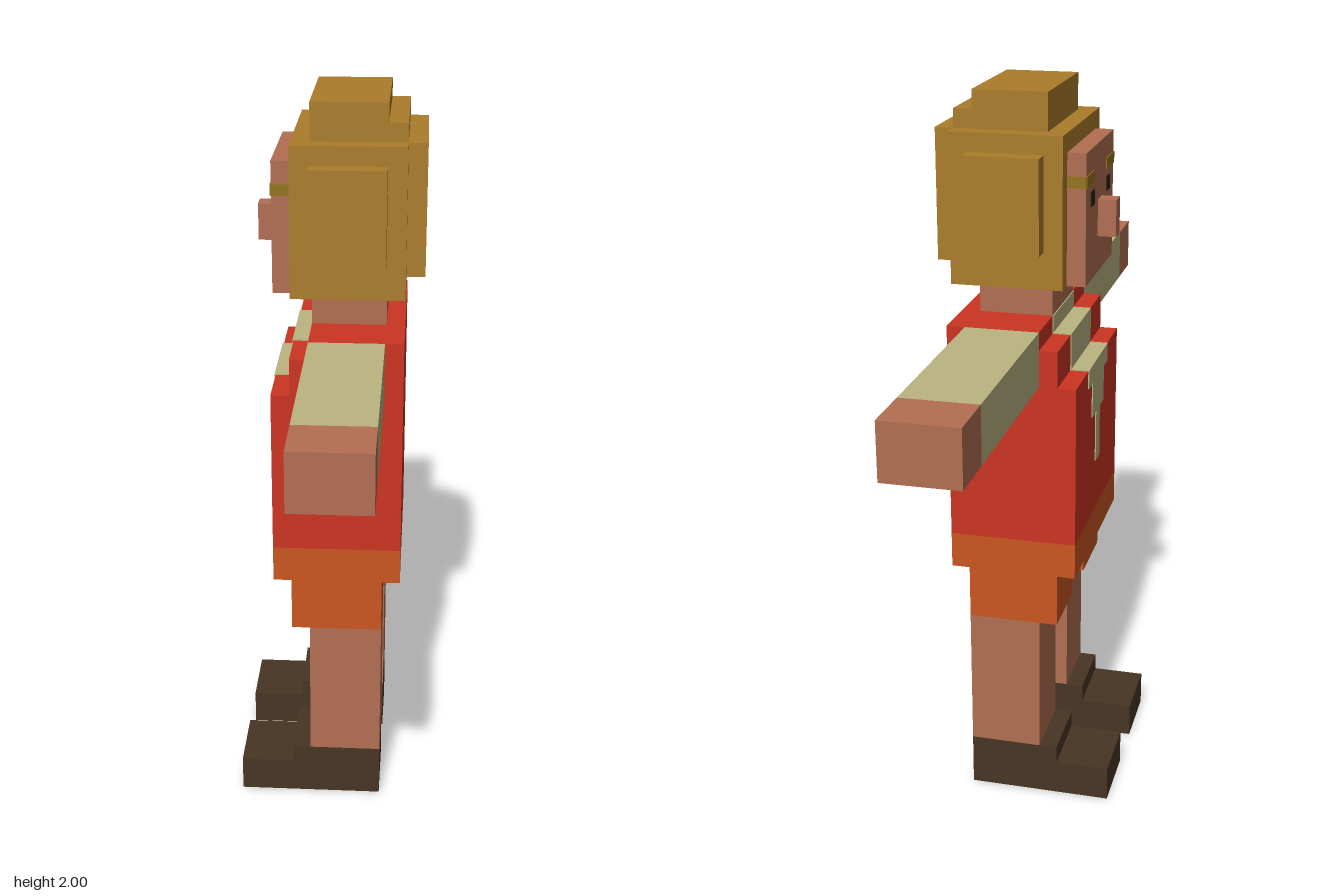
import * as THREE from 'three';

const material = (name, color) => {
  const m = new THREE.MeshStandardMaterial({ color });
  m.name = name;
  return m;
};

export function createModel() {
  const model = new THREE.Group();
  model.name = 'blockFigure';

  const hair = material('golden hair', 0xab7d2b);
  const skin = material('skin', 0xb36f53);
  const red = material('red tunic', 0xcc3423);
  const orange = material('orange shorts', 0xcb5722);
  const cloth = material('khaki cloth', 0xbcb481);
  const leather = material('dark shoe', 0x483524);
  const eyeDark = material('dark eye', 0x2a2019);
  const browOlive = material('olive brow', 0x94741c);

  // Box given by its limits along each axis
  const box = (name, mat, [x0, x1], [y0, y1], [z0, z1], parent = model) => {
    const geo = new THREE.BoxGeometry(x1 - x0, y1 - y0, z1 - z0);
    const mesh = new THREE.Mesh(geo, mat);
    mesh.position.set((x0 + x1) / 2, (y0 + y1) / 2, (z0 + z1) / 2);
    mesh.name = name;
    parent.add(mesh);
    return mesh;
  };
  // Box centred on z = 0
  const mid = (name, mat, x, y, halfZ) => box(name, mat, x, y, [-halfZ, halfZ]);
  // Mirrored pair of boxes; the figure looks toward -x
  const pair = (name, mat, x, y, [z0, z1]) => {
    box(name + 'A', mat, x, y, [z0, z1]);
    box(name + 'B', mat, x, y, [-z1, -z0]);
  };

  // Legs and shoes
  const legZ = [0.075, 0.275];
  pair('shoeSole', leather, [-0.25, 0.15], [0, 0.1], legZ);
  pair('shoeUpper', leather, [-0.1, 0.15], [0.1, 0.15], legZ);
  pair('leg', skin, [-0.05, 0.15], [0.15, 0.55], legZ);
  pair('shortsLeg', orange, [-0.1, 0.15], [0.55, 0.7], legZ);

  // Hips and stepped chest
  mid('hips', orange, [-0.15, 0.2], [0.7, 0.8], 0.275);
  mid('torso', red, [-0.15, 0.2], [0.8, 1.25], 0.275);
  mid('chest', red, [-0.1, 0.2], [1.25, 1.35], 0.275);
  mid('shoulders', red, [-0.05, 0.2], [1.35, 1.4], 0.275);

  // Arms
  pair('sleeve', cloth, [-0.05, 0.15], [1.25, 1.4], [0.275, 0.825]);
  pair('hand', skin, [-0.05, 0.15], [1.25, 1.4], [0.825, 0.975]);

  // Open neckline, thin plates following the chest steps
  const t = 0.003;
  mid('collarTop', cloth, [-0.05 - t, -0.05], [1.35, 1.4], 0.125);
  mid('collarUpperStep', cloth, [-0.1 - t, -0.05], [1.35, 1.35 + t], 0.125);
  mid('collarMiddle', cloth, [-0.1 - t, -0.1], [1.25, 1.35], 0.125);
  mid('collarLowerStep', cloth, [-0.15 - t, -0.1], [1.25, 1.25 + t], 0.125);
  [[1.2, 1.25, 0.125], [1.1, 1.2, 0.075], [0.95, 1.1, 0.025]].forEach(([y0, y1, w], i) =>
    mid('necklineRow' + i, cloth, [-0.15 - t, -0.15], [y0, y1], w));

  // Neck and face
  mid('neck', skin, [-0.05, 0.15], [1.4, 1.5], 0.125);
  mid('face', skin, [-0.15, -0.1], [1.5, 1.85], 0.175);
  mid('nose', skin, [-0.2, -0.15], [1.6, 1.7], 0.025);
  pair('eye', eyeDark, [-0.15 - t, -0.15], [1.7, 1.74], [0.08, 0.12]);
  pair('brow', browOlive, [-0.15 - t, -0.15], [1.76, 1.79], [0.075, 0.175]);
  pair('browEnd', browOlive, [-0.15, -0.1], [1.76, 1.79], [0.175, 0.175 + t]);

  // Hair in stacked blocks
  mid('hairMain', hair, [-0.1, 0.2], [1.5, 1.9], 0.225);
  pair('hairSide', hair, [-0.05, 0.15], [1.6, 1.85], [0.225, 0.275]);
  mid('hairBack', hair, [0.2, 0.25], [1.55, 1.9], 0.175);
  mid('hairCrown', hair, [-0.05, 0.2], [1.9, 1.95], 0.175);
  mid('hairTop', hair, [-0.05, 0.15], [1.95, 2], 0.175);

  return model;
}
